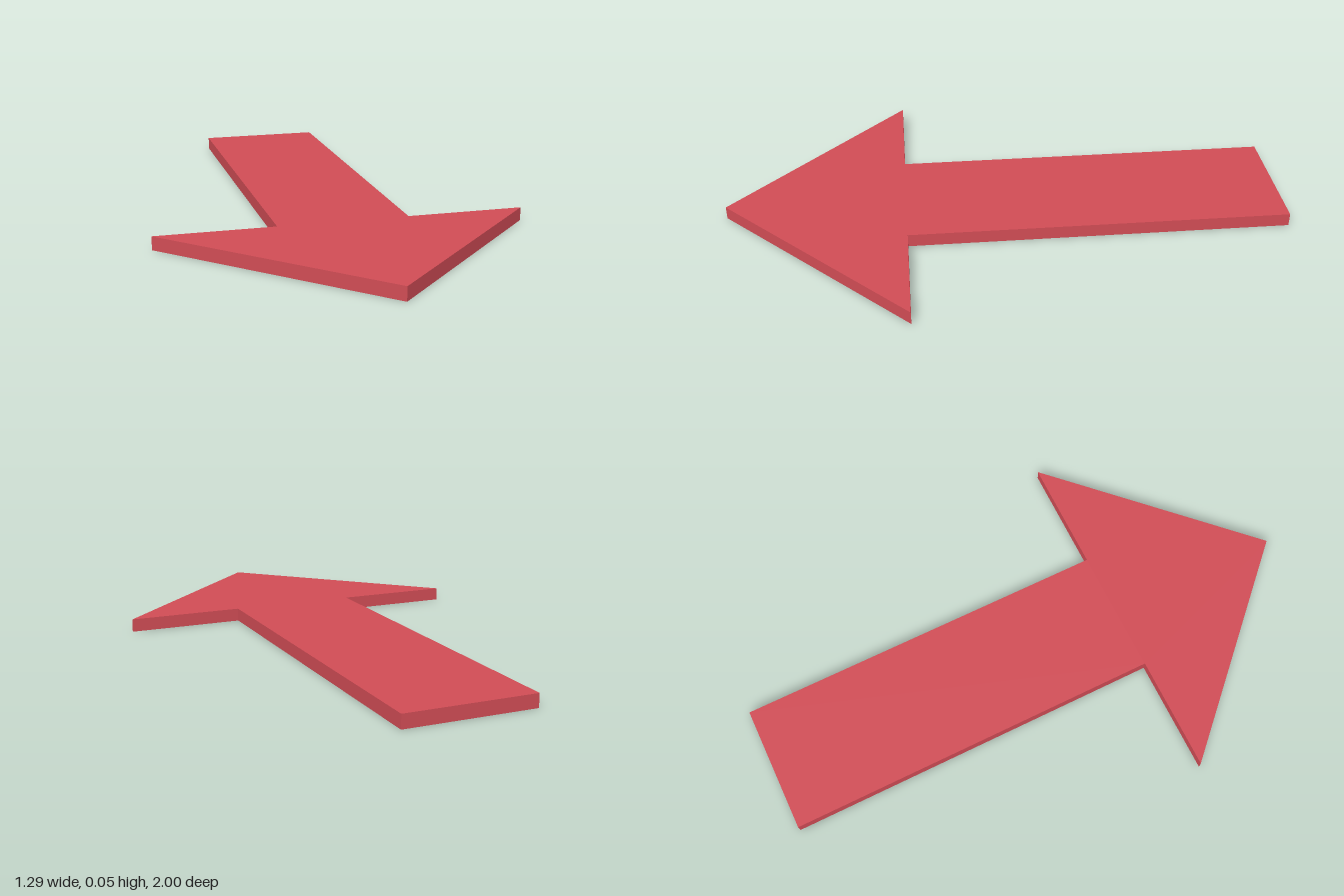
import * as THREE from 'three';

export function createModel() {
  const group = new THREE.Group();
  const thickness = 0.047;
  const shaft = 0.23, head = 0.645, shoulder = 0.355;

  // Arrow outline in plan: shape y becomes z, tip towards the front
  const outline = new THREE.Shape([
    [-shaft, -1], [shaft, -1], [shaft, shoulder], [head, shoulder],
    [0, 1], [-head, shoulder], [-shaft, shoulder],
  ].map(([x, z]) => new THREE.Vector2(x, z)));

  // Flat slab laid on the ground
  const geometry = new THREE.ExtrudeGeometry(outline, { depth: thickness, bevelEnabled: false });
  geometry.rotateX(Math.PI / 2).translate(0, thickness, 0);

  const arrow = new THREE.Mesh(geometry, new THREE.MeshStandardMaterial({ color: 0xd04c55 }));
  arrow.name = 'arrow';
  group.add(arrow);
  return group;
}
